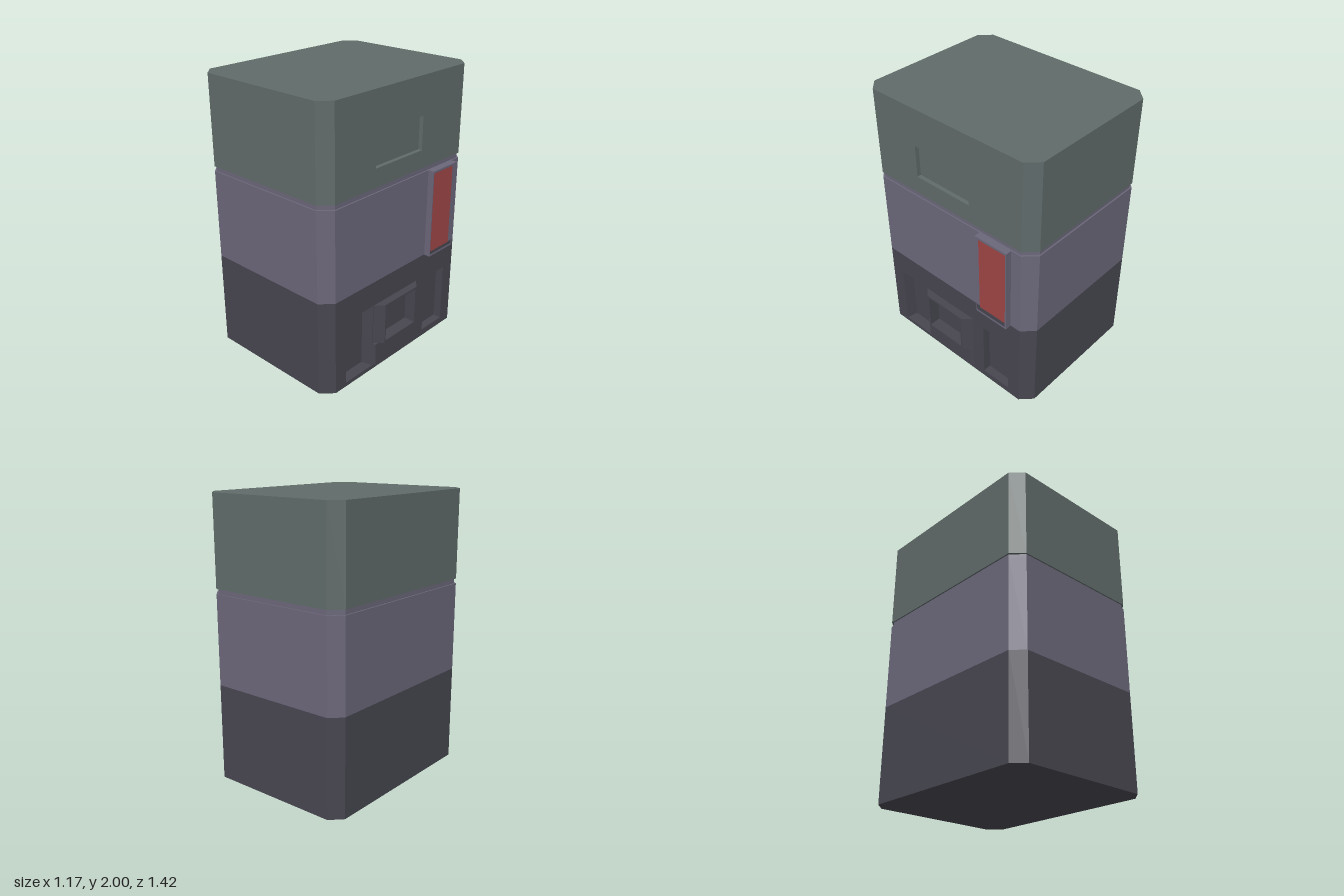
import * as THREE from 'three';

const FACE = 0.53; // plane of the detailed side wall
const paint = (color) => new THREE.MeshStandardMaterial({ color, flatShading: true });
const LOWER = paint(0x474650), MIDDLE = paint(0x6b677a), UPPER = paint(0x606b6a), RED = paint(0xa04646);

function add(group, name, geometry, material) {
  const mesh = new THREE.Mesh(geometry, material);
  mesh.name = name;
  group.add(mesh);
}

// Upright prism from a plan of [x, z] points; walls lying on the given x planes are left open
function prism(plan, y0, y1, openX) {
  const shape = new THREE.Shape(plan.map(([x, z]) => new THREE.Vector2(x, -z)));
  const g = new THREE.ExtrudeGeometry(shape, { depth: y1 - y0, bevelEnabled: false });
  g.rotateX(-Math.PI / 2).translate(0, y0, 0);
  const p = g.attributes.position, kept = [];
  for (let i = 0; i < p.count; i += 3) {
    const onPlane = openX.some((x) => [0, 1, 2].every((k) => Math.abs(p.getX(i + k) - x) < 1e-4));
    if (!onPlane) for (let k = 0; k < 3; k++) kept.push(p.getX(i + k), p.getY(i + k), p.getZ(i + k));
  }
  const out = new THREE.BufferGeometry();
  out.setAttribute('position', new THREE.Float32BufferAttribute(kept, 3));
  out.computeVertexNormals();
  return out;
}

// Rectangles are { z0, z1, y0, y1 }
const rect = (z0, z1, y0, y1) => ({ z0, z1, y0, y1 });
const corners = (r) => [[r.z0, r.y0], [r.z1, r.y0], [r.z1, r.y1], [r.z0, r.y1]]
  .map(([z, y]) => new THREE.Vector2(-z, y));

function sideShape(r, holes) {
  const s = new THREE.Shape(corners(r));
  s.holes = holes.map((h) => new THREE.Path(corners(h)));
  return s;
}

// Flat wall facing +x with rectangular holes
function wall(r, x, holes) {
  return new THREE.ShapeGeometry(sideShape(r, holes)).rotateY(Math.PI / 2).translate(x, 0, 0);
}

// Inside of a recess: a box without its front, turned inward, with optional sloped jambs
function recess(r, x, depth, slope = 0) {
  const w = r.z1 - r.z0;
  const g = new THREE.BoxGeometry(depth, r.y1 - r.y0, w);
  const p = g.attributes.position;
  for (let i = 0; i < p.count; i++) {
    if (p.getX(i) < 0) p.setZ(i, p.getZ(i) * (1 - 2 * slope / w));
  }
  g.setIndex(Array.from(g.index.array).slice(6).reverse());
  g.translate(x - depth / 2, (r.y0 + r.y1) / 2, (r.z0 + r.z1) / 2);
  const out = g.toNonIndexed();
  out.computeVertexNormals();
  return out;
}

// Chamfered body plan
function bodyPlan(inset) {
  const a = -0.59 + inset, b = FACE - inset, d = 0.71 - inset, c = 0.08;
  return [[a + c, -d], [b - c, -d], [b, -d + c], [b, d - c], [b - c, d], [a + c, d], [a, d - c], [a, -d + c]];
}

// One storey of the body with its recesses
function section(name, y0, y1, material, recesses = []) {
  const g = new THREE.Group();
  g.name = name;
  add(g, name + 'Shell', prism(bodyPlan(0), y0, y1, [FACE]), material);
  add(g, name + 'SideWall', wall(rect(-0.63, 0.63, y0, y1), FACE, recesses.map((q) => q.hole)), material);
  for (const q of recesses) {
    if (q.depth) add(g, q.name, recess(q.hole, FACE, q.depth, q.slope), material);
  }
  return g;
}

export function createModel() {
  const model = new THREE.Group();
  model.name = 'cabinet';
  const screen = rect(-0.125, 0.19, 0.225, 0.495);

  // Three storeys and the narrow groove
  const lower = section('lowerBody', 0, 0.69, LOWER, [
    { name: 'sideNiche', hole: rect(0.265, 0.53, 0.03, 0.51), depth: 0.08, slope: 0.02 },
    { name: 'tallRecess', hole: rect(-0.53, -0.3, 0.05, 0.49), depth: 0.06 },
    { name: 'screenOpening', hole: screen },
  ]);
  const middle = section('middleBody', 0.69, 1.33, MIDDLE);
  const upper = section('upperBody', 1.365, 2, UPPER, [
    { name: 'upperRecess', hole: rect(-0.2, 0.265, 1.495, 1.73), depth: 0.03 },
  ]);
  model.add(lower, middle, upper);
  add(model, 'groove', prism(bodyPlan(0.01), 1.33, 1.365, []), MIDDLE);

  // Protruding housing with a deep opening
  const front = 0.585;
  const plan = [[FACE, 0.26], [front, 0.2], [front, -0.14], [FACE, -0.2]];
  add(lower, 'housing', prism(plan, 0.21, 0.51, [FACE, front]), LOWER);
  add(lower, 'housingFront', wall(rect(-0.14, 0.2, 0.21, 0.51), front, [screen]), LOWER);
  add(lower, 'housingRecess', recess(screen, front, 0.085), LOWER);

  // Low plate below the housing, its outer edges sloped inward
  const plate = new THREE.BoxGeometry(0.017, 0.18, 0.46);
  const p = plate.attributes.position;
  for (let i = 0; i < p.count; i++) {
    if (p.getX(i) > 0) p.setXYZ(i, p.getX(i), p.getY(i) * 0.9, p.getZ(i) * 0.93);
  }
  plate.translate(FACE + 0.0085, 0.12, 0.035);
  add(lower, 'lowerPlate', plate, LOWER);

  // Framed red panel
  const pane = rect(-0.54, -0.292, 0.703, 1.315);
  const frame = new THREE.ExtrudeGeometry(sideShape(rect(-0.55, -0.285, 0.687, 1.33), [pane]),
    { depth: 0.045, bevelEnabled: false });
  add(middle, 'panelFrame', frame.rotateY(Math.PI / 2).translate(FACE, 0, 0), MIDDLE);
  add(middle, 'redPanel', wall(pane, 0.55, []), RED);

  return model;
}
